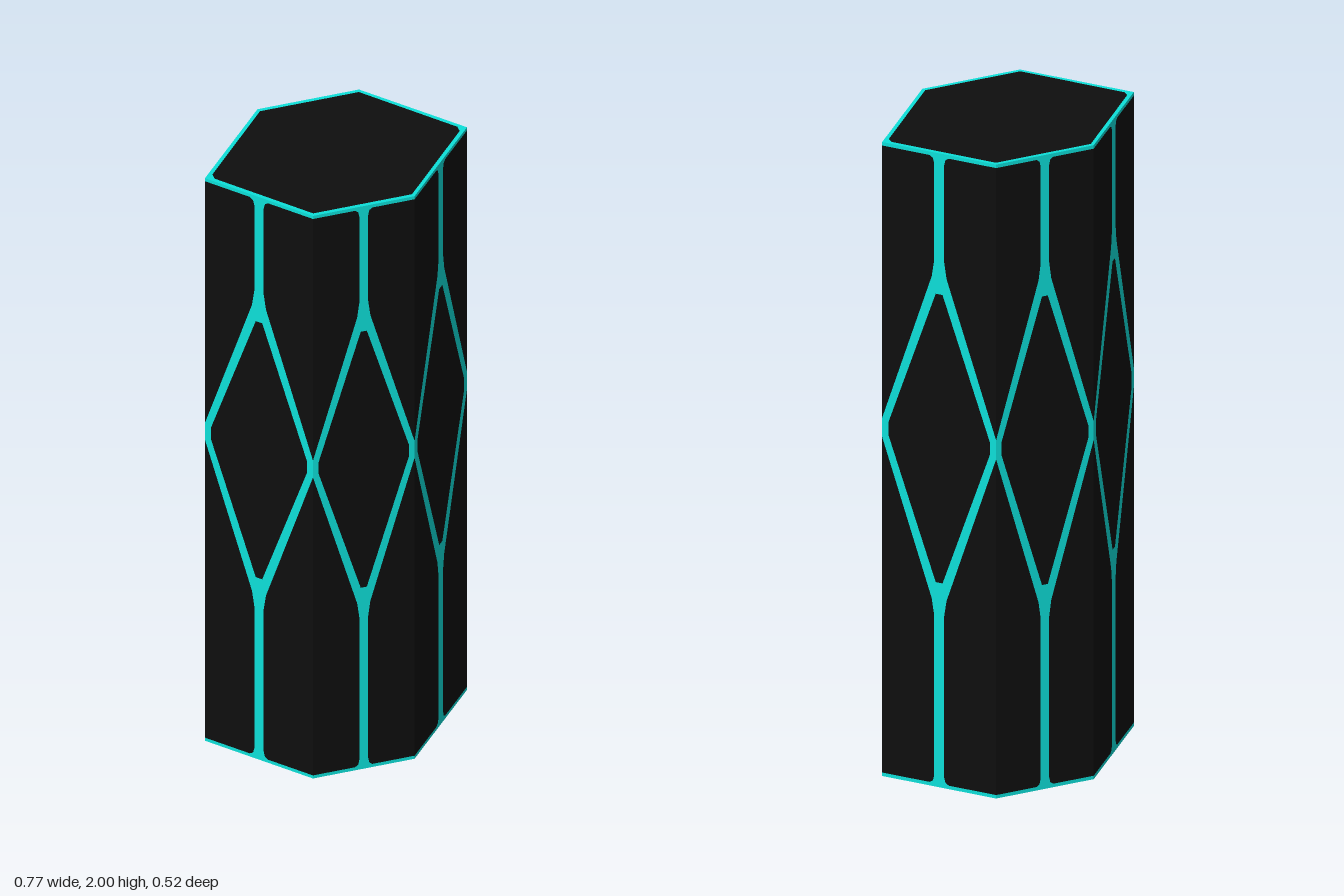
import * as THREE from 'three';

const HEIGHT = 2, MID = 1.1;
const black = new THREE.MeshStandardMaterial({ color: 0x0e0e0e });
black.name = 'black panel';
const cyan = new THREE.MeshStandardMaterial({ color: 0x0de0da });
cyan.name = 'cyan trim';

// Hexagonal plan as [x, z]
const corners = [[0.387, 0], [0.15, 0.258], [-0.15, 0.258], [-0.387, 0], [-0.15, -0.258], [0.15, -0.258]];
// Inset outline of the end panels, with blunt side tips
const capInset = [[0.362, 0.01], [0.146, 0.247], [-0.146, 0.247], [-0.362, 0.01],
  [-0.362, -0.01], [-0.146, -0.247], [0.146, -0.247], [0.362, -0.01]];

// Side pattern: x runs -1..1 across a face, y is height.
// Inner edge of an upper corner panel, from the rim down to the diamond's side tip
const upperEdge = [[1, 1.989], [0.17, 1.989], [0.11, 1.982], [0.087, 1.965], [0.087, 1.66], [0.13, 1.608], [1, 1.13]];
const lowerEdge = [[1, 1.07], [0.13, 0.592], [0.087, 0.54], [0.087, 0.035], [0.11, 0.018], [0.17, 0.011], [1, 0.011]];
const diamond = [[0.89, MID + 0.02], [0.06, 1.555], [-0.06, 1.555], [-0.89, MID + 0.02],
  [-0.89, MID - 0.02], [-0.06, 0.645], [0.06, 0.645], [0.89, MID - 0.02]];

const mirror = (pts) => pts.map(([x, y]) => [-x, y]).reverse();
const shapeOf = (pts) => new THREE.Shape(pts.map(([x, y]) => new THREE.Vector2(x, y)));

function withHole(pts, hole) {
  const shape = shapeOf(pts);
  shape.holes.push(shapeOf(hole));
  return shape;
}

function addMesh(parent, name, shapes, material, rotX = 0) {
  const geometry = new THREE.ShapeGeometry(shapes);
  if (rotX) geometry.rotateX(rotX);
  const mesh = new THREE.Mesh(geometry, material);
  mesh.name = name;
  parent.add(mesh);
  return mesh;
}

export function createModel() {
  const model = new THREE.Group();
  model.name = 'hexagonalColumn';

  // Trim of one face: rims, vertical bars and diamond frame in one outline
  const right = [[1, HEIGHT], ...upperEdge, ...lowerEdge, [1, 0]];
  const trim = withHole([...right, ...mirror(right)], diamond);
  const panels = [upperEdge, lowerEdge, mirror(upperEdge), mirror(lowerEdge), diamond].map(shapeOf);

  // Six side faces
  corners.forEach(([ax, az], i) => {
    const [bx, bz] = corners[(i + 1) % 6];
    const face = new THREE.Group();
    face.name = 'sideFace' + (i + 1);
    face.position.set((ax + bx) / 2, 0, (az + bz) / 2);
    face.rotation.y = Math.atan2(bz - az, ax - bx);
    face.scale.x = Math.hypot(bx - ax, bz - az) / 2;
    addMesh(face, 'sidePanels', panels, black);
    addMesh(face, 'sideTrim', trim, cyan);
    model.add(face);
  });

  // Orient each face outwards from the column's axis
  model.children.forEach((face, i) => {
    const [ax, az] = corners[i], [bx, bz] = corners[(i + 1) % 6];
    let nx = bz - az, nz = ax - bx;
    if (nx * face.position.x + nz * face.position.z < 0) { nx = -nx; nz = -nz; }
    face.rotation.y = Math.atan2(nx, nz);
  });

  // End panels and their rims
  for (const [name, y, turn] of [['top', HEIGHT, -Math.PI / 2], ['bottom', 0, Math.PI / 2]]) {
    addMesh(model, name + 'Panel', shapeOf(capInset), black, turn).position.y = y;
    addMesh(model, name + 'Rim', withHole(corners, capInset), cyan, turn).position.y = y;
  }
  return model;
}
